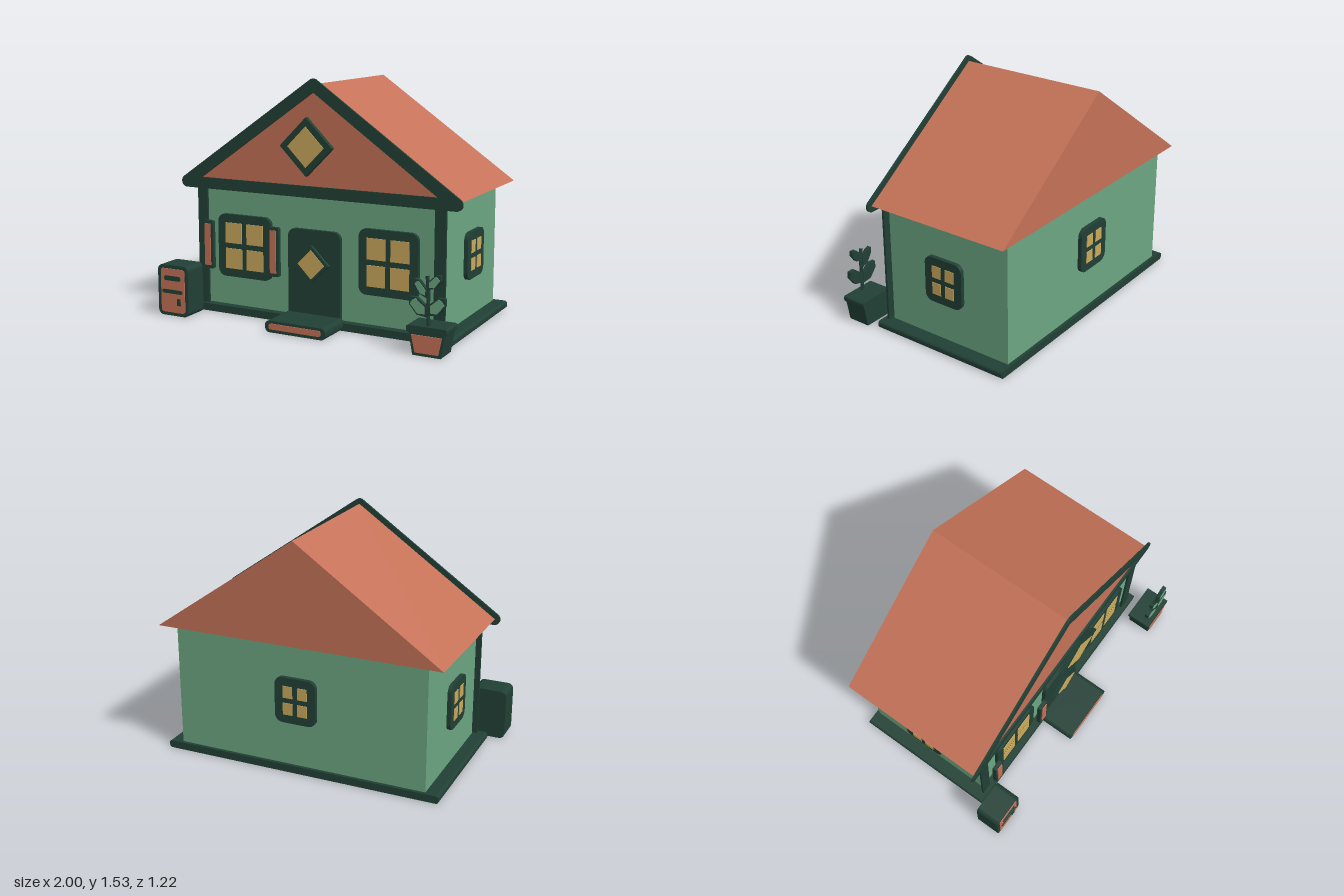
import * as THREE from 'three';

const mat = (name, color) => {
  const m = new THREE.MeshStandardMaterial({ color });
  m.name = name;
  return m;
};

export function createModel() {
  const trim = mat('dark green trim', 0x214035);
  const wallGreen = mat('wall green', 0x6ca682);
  const terracotta = mat('terracotta', 0xc57258);
  const glass = mat('window yellow', 0xcba95c);

  const house = new THREE.Group();
  house.name = 'house';
  const CX = 0.02; // centre line of the building

  const add = (parent, name, geo, material) => {
    const m = new THREE.Mesh(geo, material);
    m.name = name;
    parent.add(m);
    return m;
  };
  const group = (name, parent = house) => {
    const g = new THREE.Group();
    g.name = name;
    parent.add(g);
    return g;
  };
  const poly = (pts) => new THREE.Shape(pts.map((p) => new THREE.Vector2(p[0], p[1])));

  // Rectangle with rounded corners, given by its extents
  const rounded = (x0, x1, y0, y1, r) => {
    const s = new THREE.Shape();
    s.absarc(x1 - r, y0 + r, r, -Math.PI / 2, 0);
    s.absarc(x1 - r, y1 - r, r, 0, Math.PI / 2);
    s.absarc(x0 + r, y1 - r, r, Math.PI / 2, Math.PI);
    s.absarc(x0 + r, y0 + r, r, Math.PI, Math.PI * 1.5);
    s.closePath();
    return s;
  };
  // Flat outline pushed out from z0 to z1
  const slab = (shape, z0, z1) =>
    new THREE.ExtrudeGeometry(shape, { depth: z1 - z0, bevelEnabled: false, curveSegments: 6 }).translate(0, 0, z0);
  const box = (x0, x1, y0, y1, z0, z1) =>
    new THREE.BoxGeometry(x1 - x0, y1 - y0, z1 - z0).translate((x0 + x1) / 2, (y0 + y1) / 2, (z0 + z1) / 2);
  const diamond = (cx, cy, r) => poly([[cx, cy - r], [cx + r, cy], [cx, cy + r], [cx - r, cy]]);

  // Walls and foundation
  add(house, 'walls', box(-0.81, 0.85, 0.03, 0.85, -0.565, 0.315), wallGreen);
  add(house, 'foundation', slab(rounded(-0.9, 0.94, 0, 0.048, 0.018), -0.587, 0.37), trim);
  for (const s of [-1, 1]) {
    const x = CX + s * 0.825;
    add(house, 'cornerPost', box(x - 0.036, x + 0.036, 0.02, 0.85, 0.331, 0.345), trim);
  }

  // Roof prism with a rounded frame on the front gable
  add(house, 'roof', slab(poly([[CX - 0.935, 0.845], [CX + 0.935, 0.845], [CX, 1.495]]), -0.612, 0.355), terracotta);
  const R = 0.038;
  const slope = Math.atan2(0.65, 0.93);
  const gable = new THREE.Shape();
  gable.absarc(CX + 0.93, 0.843, R, -Math.PI / 2, Math.PI / 2 - slope);
  gable.absarc(CX, 1.491, R, Math.PI / 2 - slope, Math.PI / 2 + slope);
  gable.absarc(CX - 0.93, 0.843, R, Math.PI / 2 + slope, Math.PI * 1.5);
  gable.closePath();
  gable.holes.push(poly([[CX - 0.815, 0.876], [CX, 1.447], [CX + 0.815, 0.876]]));
  add(house, 'gableFrame', slab(gable, 0.354, 0.368), trim);

  // Gable window
  const attic = group('gableWindow');
  add(attic, 'gableWindowFrame', slab(diamond(CX, 1.128, 0.178), 0.43, 0.46), trim);
  add(attic, 'gableWindowPane', slab(diamond(CX, 1.128, 0.124), 0.46, 0.464), glass);

  // Four-pane window, centred on its own origin with its back at z = 0
  const makeWindow = (name, w, h, r, paneW, paneH, bar) => {
    const g = group(name);
    add(g, 'windowFrame', slab(rounded(-w / 2, w / 2, -h / 2, h / 2, r), 0, 0.026), trim);
    for (const sx of [-1, 1]) for (const sy of [-1, 1]) {
      const pane = new THREE.BoxGeometry(paneW, paneH, 0.004);
      pane.translate(sx * (paneW + bar) / 2, sy * (paneH + bar) / 2, 0.028);
      add(g, 'windowPane', pane, glass);
    }
    return g;
  };
  for (const x of [-0.486, 0.518])
    makeWindow('frontWindow', 0.39, 0.405, 0.05, 0.122, 0.132, 0.034).position.set(x, 0.447, 0.331);
  for (const s of [-1, 1]) {
    const w = makeWindow('sideWindow', 0.272, 0.296, 0.05, 0.064, 0.077, 0.033);
    w.position.set(CX + s * 0.843, 0.457, -0.123);
    w.rotation.y = s * Math.PI / 2;
  }
  const back = makeWindow('backWindow', 0.272, 0.296, 0.05, 0.064, 0.077, 0.033);
  back.position.set(CX, 0.492, -0.58);
  back.rotation.y = Math.PI;

  // Shutters beside one front window
  for (const x of [-0.731, -0.246]) {
    const g = group('shutter');
    add(g, 'shutterFrame', slab(rounded(x - 0.039, x + 0.039, 0.293, 0.606, 0.012), 0.378, 0.405), trim);
    add(g, 'shutterPanel', box(x - 0.022, x + 0.022, 0.315, 0.587, 0.405, 0.41), terracotta);
  }

  // Door with diamond light, and the step
  const door = group('door');
  add(door, 'doorPanel', slab(rounded(-0.165, 0.2, 0, 0.605, 0.05), 0.333, 0.358), trim);
  add(door, 'doorWindowFrame', slab(diamond(CX, 0.398, 0.119), 0.378, 0.4), trim);
  add(door, 'doorWindowPane', slab(diamond(CX, 0.398, 0.092), 0.4, 0.404), glass);
  add(door, 'doorStep', slab(rounded(-0.19, 0.225, 0, 0.073, 0.03), 0.355, 0.6), trim);
  add(door, 'stepStripe', slab(rounded(-0.163, 0.195, 0.02, 0.057, 0.014), 0.6, 0.605), terracotta);

  // Letter box
  const post = group('letterBox');
  add(post, 'letterBoxBody', slab(rounded(-1, -0.77, 0, 0.33, 0.035), 0.415, 0.58), trim);
  add(post, 'letterBoxPanel', slab(rounded(-0.976, -0.794, 0.022, 0.308, 0.02), 0.58, 0.584), terracotta);
  add(post, 'letterSlot', slab(rounded(-0.946, -0.824, 0.232, 0.262, 0.012), 0.584, 0.59), trim);
  add(post, 'letterBoxBar', slab(rounded(-0.962, -0.81, 0.148, 0.172, 0.01), 0.584, 0.59), trim);
  add(post, 'letterBoxLatch', box(-0.852, -0.826, 0.072, 0.116, 0.584, 0.59), trim);

  // Flower pot
  const pot = group('flowerPot');
  add(pot, 'potBody', slab(poly([[0.785, 0], [0.96, 0], [0.985, 0.14], [0.76, 0.14]]), 0.44, 0.592), trim);
  add(pot, 'potRim', slab(rounded(0.748, 0.996, 0.136, 0.175, 0.012), 0.435, 0.598), trim);
  add(pot, 'potPanel', slab(poly([[0.802, 0.018], [0.945, 0.018], [0.967, 0.122], [0.778, 0.122]]), 0.592, 0.598), terracotta);

  // Plant: stem plus leaves given by base, tip and width
  const plant = group('plant');
  const stem = new THREE.CatmullRomCurve3(
    [[0.872, 0.165], [0.866, 0.27], [0.868, 0.36], [0.86, 0.465]].map((p) => new THREE.Vector3(p[0], p[1], 0.562)));
  add(plant, 'stem', new THREE.TubeGeometry(stem, 8, 0.011, 6), trim);
  const leafShape = (b, t, w, inset) => {
    const d = new THREE.Vector2(t[0] - b[0], t[1] - b[1]);
    const n = new THREE.Vector2(-d.y, d.x).normalize().multiplyScalar(w * (1 - inset * 1.5));
    const at = (k, s) => [b[0] + d.x * k + n.x * s, b[1] + d.y * k + n.y * s];
    return poly([at(inset, 0), at(0.35, -1), at(0.8, -0.8), at(1 - inset, 0), at(0.8, 0.8), at(0.35, 1)]);
  };
  const leaves = [
    [[0.868, 0.225], [0.755, 0.335], 0.04],
    [[0.868, 0.235], [0.975, 0.345], 0.04],
    [[0.866, 0.335], [0.785, 0.445], 0.026],
    [[0.866, 0.385], [0.945, 0.475], 0.028],
  ];
  for (const [b, t, w] of leaves) {
    add(plant, 'leafEdge', slab(leafShape(b, t, w, 0), 0.549, 0.575), trim);
    add(plant, 'leafFace', slab(leafShape(b, t, w, 0.16), 0.575, 0.579), wallGreen);
  }
  return house;
}
